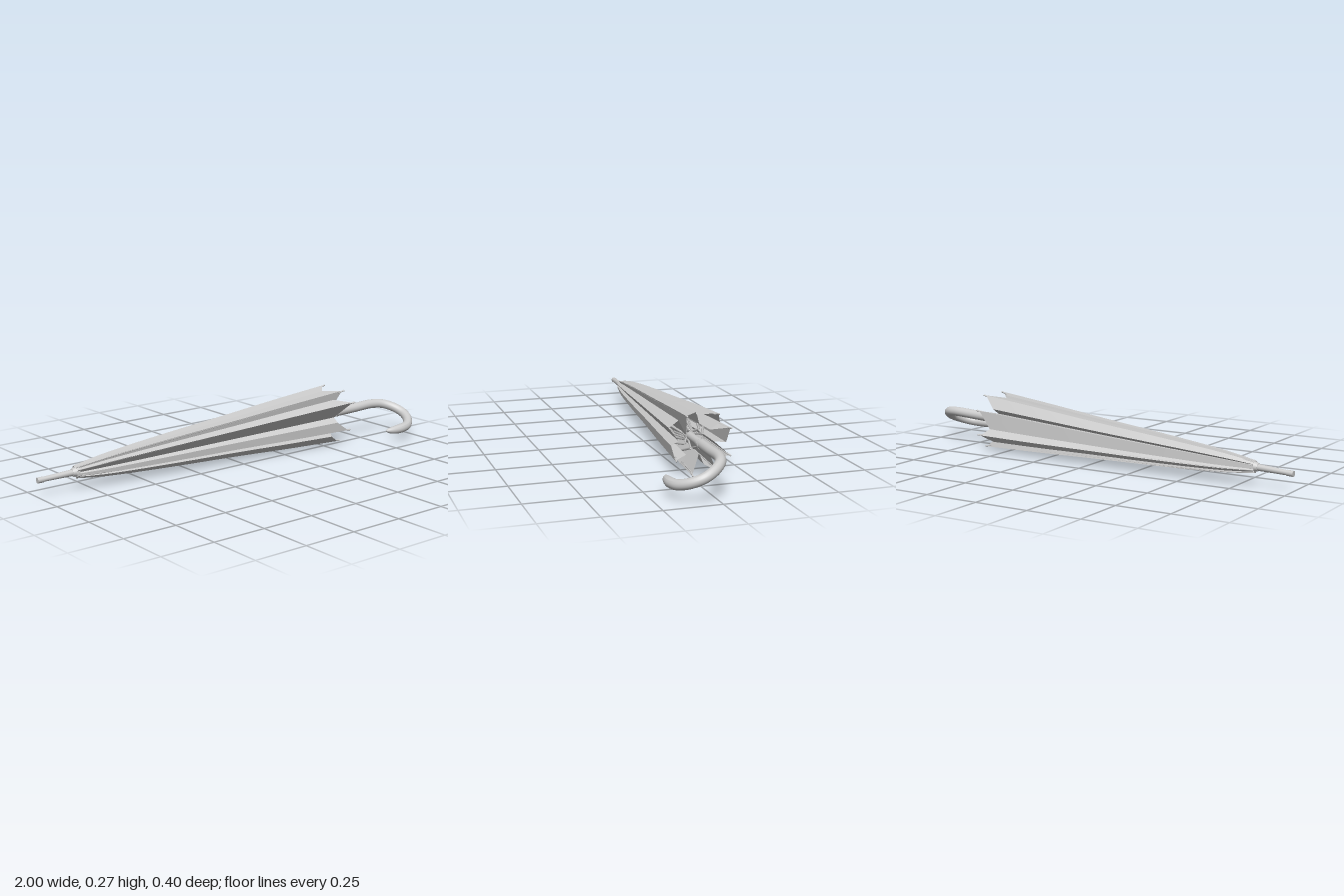
import * as THREE from 'three';
import { mergeGeometries } from 'three/addons/utils/BufferGeometryUtils.js';

const material = new THREE.MeshStandardMaterial({ color: 0xcccccc });
const clothMaterial = new THREE.MeshStandardMaterial({ color: 0xcccccc, side: THREE.DoubleSide });
const V = (x, y, z) => new THREE.Vector3(x, y, z);

// The shaft leans slightly: its centre for any x
const axis = (x) => V(x, 0.117 + 0.041 * x, -0.093 + 0.067 * x);

// Open-end outline of the folded cloth as [z, y, kind]; R = rib, F = loose flap, N = inner fold
const outline = [
  [0.09, 0.22, 'R'], [0.03, 0.237, 'F'], [-0.005, 0.17, 'N'],
  [0.012, 0.265, 'R'], [-0.05, 0.268, 'F'], [-0.065, 0.215, 'N'], [-0.056, 0.257, 'F'],
  [-0.132, 0.267, 'R'], [-0.163, 0.215, 'F'], [-0.115, 0.185, 'N'],
  [-0.189, 0.2, 'R'], [-0.193, 0.12, 'F'], [-0.135, 0.13, 'N'],
  [-0.186, 0.08, 'R'], [-0.165, 0.052, 'F'], [-0.11, 0.085, 'N'],
  [-0.127, 0.016, 'R'], [-0.09, 0.028, 'F'], [-0.065, 0.08, 'N'],
  [-0.016, 0.003, 'R'], [0.022, 0.043, 'F'], [-0.005, 0.08, 'N'],
  [0.06, 0.075, 'R'], [0.064, 0.125, 'F'], [0.03, 0.145, 'N'],
];
const X0 = -0.82, X1 = 0.6;
const endX = { R: 0.605, F: 0.54, N: 0.545 };
const centre = axis(X1);

// Spread of the cloth along the shaft, 0 at the crown to 1 at the hem
const spreadCurve = new THREE.SplineCurve([
  [-0.82, 0.19], [-0.7, 0.32], [-0.55, 0.42], [-0.3, 0.55], [0, 0.69], [0.3, 0.85], [0.62, 1],
].map((p) => new THREE.Vector2(...p)));
const samples = spreadCurve.getPoints(120);
function spread(x) {
  let i = 1;
  while (i < samples.length - 1 && samples[i].x < x) i++;
  const a = samples[i - 1], b = samples[i];
  return a.y + (b.y - a.y) * (x - a.x) / (b.x - a.x);
}

// A point on one column of the cloth; the back columns belly outwards in mid-length
function clothPoint([z, y], x, inset = 1) {
  const dy = y - centre.y, dz = z - centre.z;
  const t = Math.min(1, (x - X0) / (X1 - X0));
  const belly = Math.min(0, dz) * 0.1 * Math.sin(Math.PI * t);
  const s = spread(x);
  return axis(x).add(V(0, dy * s, dz * s + belly).multiplyScalar(inset));
}

// One lengthwise strip of cloth between two neighbouring columns
function strip(a, b, steps = 20) {
  const pos = [], index = [];
  for (let i = 0; i <= steps; i++) {
    for (const c of [a, b]) {
      const x = X0 + (endX[c[2]] - X0) * i / steps;
      pos.push(...clothPoint(c, x).toArray());
    }
    if (i < steps) {
      const k = i * 2;
      index.push(k, k + 1, k + 2, k + 1, k + 3, k + 2);
    }
  }
  const g = new THREE.BufferGeometry();
  g.setAttribute('position', new THREE.Float32BufferAttribute(pos, 3));
  g.setIndex(index);
  g.computeVertexNormals();
  return g;
}

function mesh(name, geometry, mat = material) {
  const m = new THREE.Mesh(geometry, mat);
  m.name = name;
  return m;
}

// Straight round rod between two points
function rod(name, a, b, r0, r1 = r0, sides = 20) {
  const d = b.clone().sub(a);
  const m = mesh(name, new THREE.CylinderGeometry(r1, r0, d.length(), sides));
  m.position.copy(a).add(b).multiplyScalar(0.5);
  m.quaternion.setFromUnitVectors(V(0, 1, 0), d.normalize());
  return m;
}

// Curved handle, rounded at the free end
function handle() {
  const path = new THREE.CatmullRomCurve3([
    axis(0.625), axis(0.74), V(0.86, 0.152, -0.036), V(0.92, 0.146, -0.016),
    V(0.963, 0.127, 0.028), V(0.976, 0.106, 0.075), V(0.957, 0.086, 0.122),
    V(0.915, 0.071, 0.157), V(0.865, 0.066, 0.17), V(0.815, 0.064, 0.168), V(0.768, 0.065, 0.16),
  ]);
  const n = 90, sides = 20, r = 0.0225;
  const g = new THREE.TubeGeometry(path, n, r, sides);
  const p = g.attributes.position, v = V(0, 0, 0);
  for (let i = 0; i <= n; i++) {
    const c = path.getPointAt(i / n);
    const t = Math.min(1, (n - i) / 14);
    const k = Math.sqrt(1 - (1 - t) ** 2);
    for (let j = 0; j <= sides; j++) {
      const q = i * (sides + 1) + j;
      v.fromBufferAttribute(p, q).sub(c).multiplyScalar(k).add(c);
      p.setXYZ(q, v.x, v.y, v.z);
    }
  }
  g.computeVertexNormals();
  return mesh('handle', g);
}

export function createModel() {
  const model = new THREE.Group();
  model.name = 'umbrella';

  // Cloth
  const strips = outline.map((c, i) => strip(c, outline[(i + 1) % outline.length]));
  model.add(mesh('canopy', mergeGeometries(strips), clothMaterial));

  // Shaft, point and fittings
  model.add(rod('shaft', axis(-0.85), axis(0.64), 0.011));
  model.add(rod('ferrule', axis(-0.975), axis(-0.78), 0.011, 0.016));
  model.add(rod('ferruleTip', axis(-0.999), axis(-0.97), 0.013));
  model.add(rod('crownCap', axis(-0.835), axis(-0.805), 0.017, 0.025));
  model.add(rod('runner', axis(0.44), axis(0.59), 0.017));
  model.add(rod('runnerRing', axis(0.43), axis(0.455), 0.021));
  model.add(rod('runnerCollar', axis(0.585), axis(0.605), 0.02));
  model.add(rod('handleCollar', axis(0.618), axis(0.632), 0.0235));
  model.add(handle());

  // Ribs tucked inside the folds, with end tips, and stretchers back to the runner
  const frame = new THREE.Group();
  frame.name = 'frame';
  for (const c of outline.filter((o) => o[2] === 'R')) {
    const pts = [];
    for (let i = 0; i <= 12; i++) pts.push(clothPoint(c, X0 + (0.59 - X0) * i / 12, 0.93));
    frame.add(mesh('rib', new THREE.TubeGeometry(new THREE.CatmullRomCurve3(pts), 30, 0.0028, 6)));
    const tip = clothPoint(c, 0.617, 0.985);
    frame.add(rod('ribTip', clothPoint(c, 0.585, 0.95), tip, 0.003, 0.004, 8));
    const bead = mesh('ribBead', new THREE.SphereGeometry(0.0045, 10, 8));
    bead.position.copy(tip);
    frame.add(bead);

    const out = V(0, c[1] - centre.y, c[0] - centre.z).normalize();
    const inner = axis(0.445).addScaledVector(out, 0.02);
    frame.add(rod('stretcher', inner, clothPoint(c, 0.02, 0.88), 0.005, 0.005, 4));
    const elbow = axis(0.5).addScaledVector(out, 0.045);
    frame.add(rod('braceStrut', clothPoint(c, 0.3, 0.88), elbow, 0.005, 0.005, 4));
    frame.add(rod('braceLink', elbow, inner, 0.005, 0.005, 4));
  }
  model.add(frame);
  return model;
}
